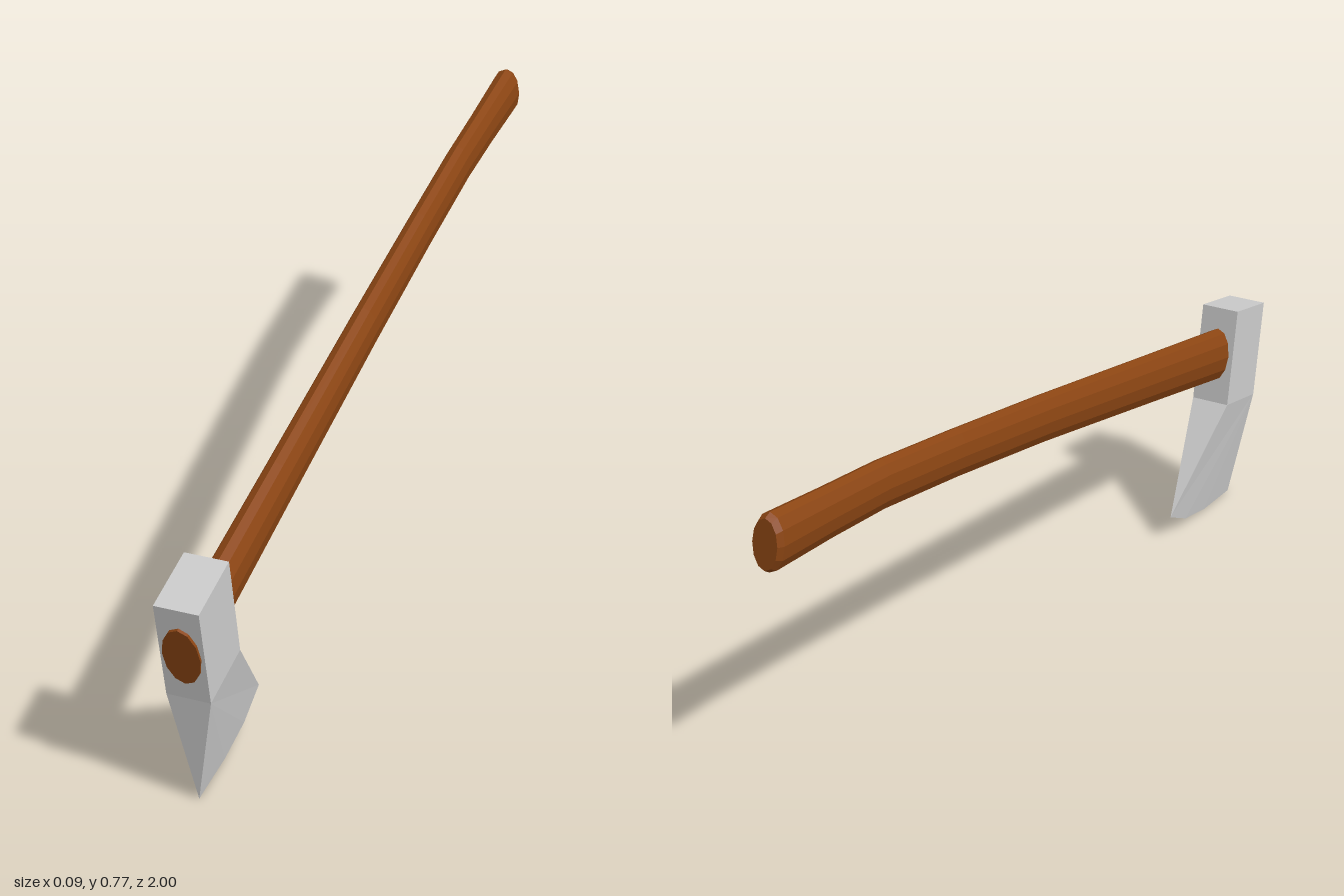
import * as THREE from 'three';

// Flat-shaded mesh from a list of corner points, three per triangle
function facetedMesh(name, points, color) {
  const geometry = new THREE.BufferGeometry().setFromPoints(points);
  geometry.computeVertexNormals();
  const mesh = new THREE.Mesh(geometry, new THREE.MeshStandardMaterial({ color, flatShading: true }));
  mesh.name = name;
  return mesh;
}

// Curved handle: elliptical rings square to the path, running from head to grip
function createHandle() {
  const sides = 12;
  // z, y, half width, half height, slope of the path
  const sections = [
    [0.985, 0.375, 0.039, 0.071, 0.2],
    [0.83, 0.407, 0.035, 0.064, 0.2],
    [0.5, 0.472, 0.033, 0.06, 0.195],
    [0, 0.57, 0.031, 0.055, 0.19],
    [-0.35, 0.633, 0.03, 0.053, 0.17],
    [-0.62, 0.677, 0.03, 0.053, 0.13],
    [-0.8, 0.696, 0.031, 0.055, 0.1],
    [-0.981, 0.714, 0.034, 0.06, 0.1],
    [-0.996, 0.7155, 0.028, 0.052, 0.1],
  ];
  const centres = sections.map(([z, y]) => new THREE.Vector3(0, y, z));
  const rings = sections.map(([z, y, w, h, slope]) => {
    const tilt = Math.atan(slope);
    return Array.from({ length: sides }, (_, j) => {
      const a = (j / sides) * Math.PI * 2;
      const up = h * Math.sin(a);
      return new THREE.Vector3(w * Math.cos(a), y + up * Math.cos(tilt), z + up * Math.sin(tilt));
    });
  });
  const points = [];
  const last = rings.length - 1;
  for (let j = 0; j < sides; j++) {
    const k = (j + 1) % sides;
    for (let i = 0; i < last; i++) {
      const a = rings[i], b = rings[i + 1];
      points.push(a[j], b[j], a[k], a[k], b[j], b[k]);
    }
    points.push(centres[0], rings[0][j], rings[0][k]);
    points.push(centres[last], rings[last][k], rings[last][j]);
  }
  return facetedMesh('handle', points, 0x8b4513);
}

// Head: a square poll that tapers to a curved cutting edge
function createHead() {
  const w = 0.046;
  const at = (x, z, y) => new THREE.Vector3(x, y, z);
  const topFront = at(w, 1, 0.491), topBack = at(w, 0.855, 0.519);
  const midFront = at(w, 0.96, 0.263), midBack = at(w, 0.815, 0.29);
  const edge = [[0.93, 0], [0.8, 0.004], [0.7, 0.022], [0.62, 0.06]].map(([z, y]) => at(0, z, y));
  const heel = edge[edge.length - 1];
  const flip = (p) => at(-p.x, p.z, p.y);
  const points = [];

  // Cheeks, mirrored left and right
  const cheek = [[topFront, midFront, midBack], [topFront, midBack, topBack], [midFront, heel, midBack]];
  for (let i = 0; i < edge.length - 1; i++) cheek.push([midFront, edge[i], edge[i + 1]]);
  for (const [a, b, c] of cheek) points.push(a, b, c, flip(a), flip(c), flip(b));

  // Strips across the front, top and back
  for (const [a, b] of [[midFront, topFront], [topFront, topBack], [topBack, midBack]]) {
    points.push(a, b, flip(b), a, flip(b), flip(a));
  }
  points.push(edge[0], midFront, flip(midFront), heel, flip(midBack), midBack);
  return facetedMesh('axeHead', points, 0xcccccc);
}

export function createModel() {
  const axe = new THREE.Group();
  axe.name = 'axe';
  axe.add(createHandle(), createHead());
  return axe;
}
